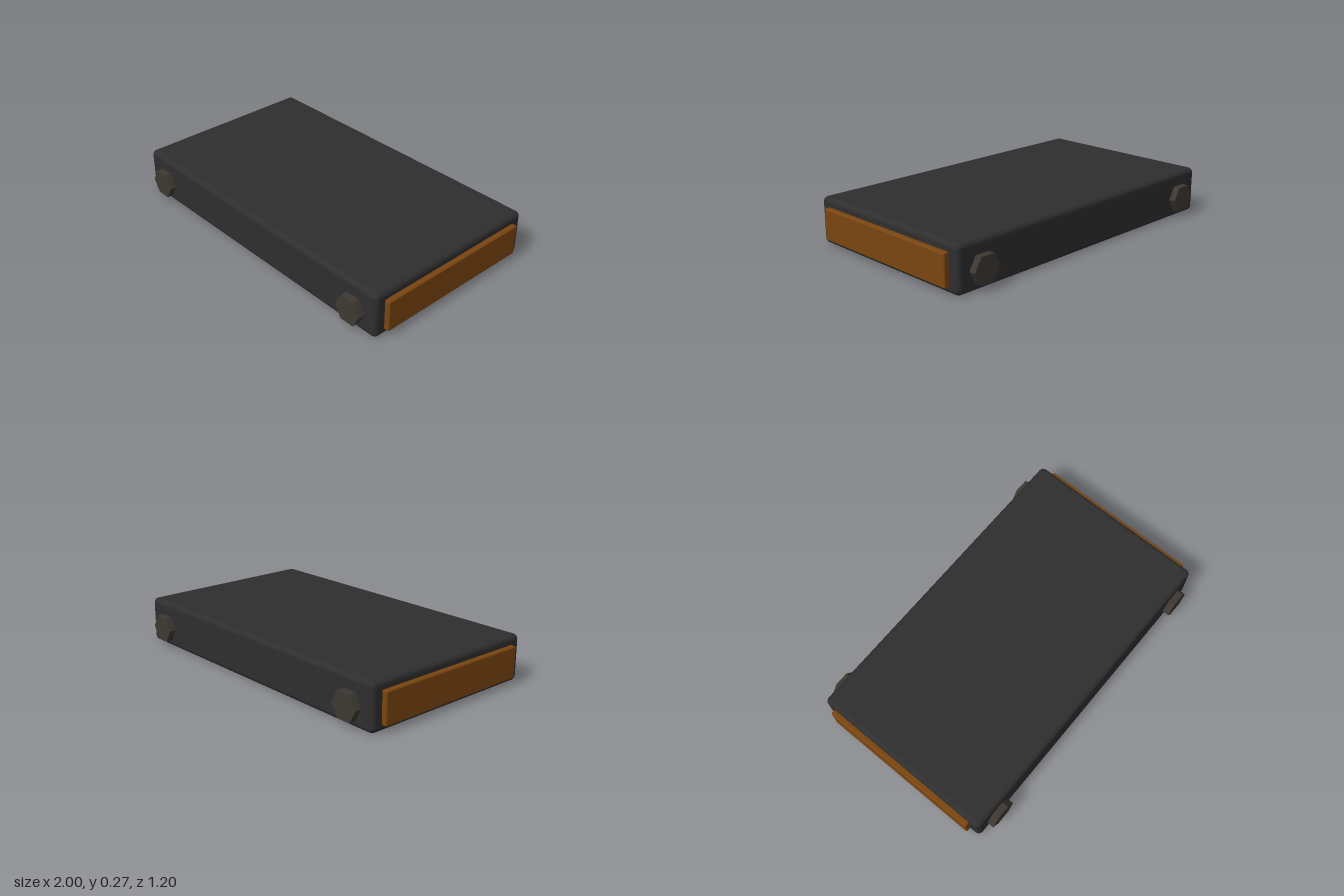
import * as THREE from 'three';
import { RoundedBoxGeometry } from 'three/addons/geometries/RoundedBoxGeometry.js';

export function createModel() {
  const group = new THREE.Group();
  const shellMat = new THREE.MeshStandardMaterial({ color: 0x2e2e2e });
  const panelMat = new THREE.MeshStandardMaterial({ color: 0x7a4510 });
  const boltMat = new THREE.MeshStandardMaterial({ color: 0x3d3832 });
  boltMat.flatShading = true;

  function add(name, geometry, material, x, y, z) {
    const mesh = new THREE.Mesh(geometry, material);
    mesh.name = name;
    mesh.position.set(x, y, z);
    group.add(mesh);
    return mesh;
  }

  // Rounded slab body
  add('body', new RoundedBoxGeometry(1.94, 0.27, 1.12, 4, 0.03), shellMat, 0, 0.135, 0);

  // Raised panels on both ends
  const panelGeo = new RoundedBoxGeometry(0.1, 0.186, 0.99, 3, 0.01);
  for (const side of [1, -1]) {
    const name = side > 0 ? 'leftEndPanel' : 'rightEndPanel';
    add(name, panelGeo, panelMat, side * 0.95, 0.128, 0);
  }

  // Hexagonal bolt heads on the front and back, corners pointing sideways
  const boltGeo = new THREE.CylinderGeometry(0.086, 0.086, 0.08, 6);
  boltGeo.rotateY(Math.PI / 2);
  boltGeo.rotateX(Math.PI / 2);
  for (const x of [-0.81, 0.81]) {
    for (const face of [1, -1]) {
      const name = (face > 0 ? 'front' : 'back') + (x > 0 ? 'LeftBolt' : 'RightBolt');
      add(name, boltGeo, boltMat, x, 0.115, face * 0.56);
    }
  }

  return group;
}
